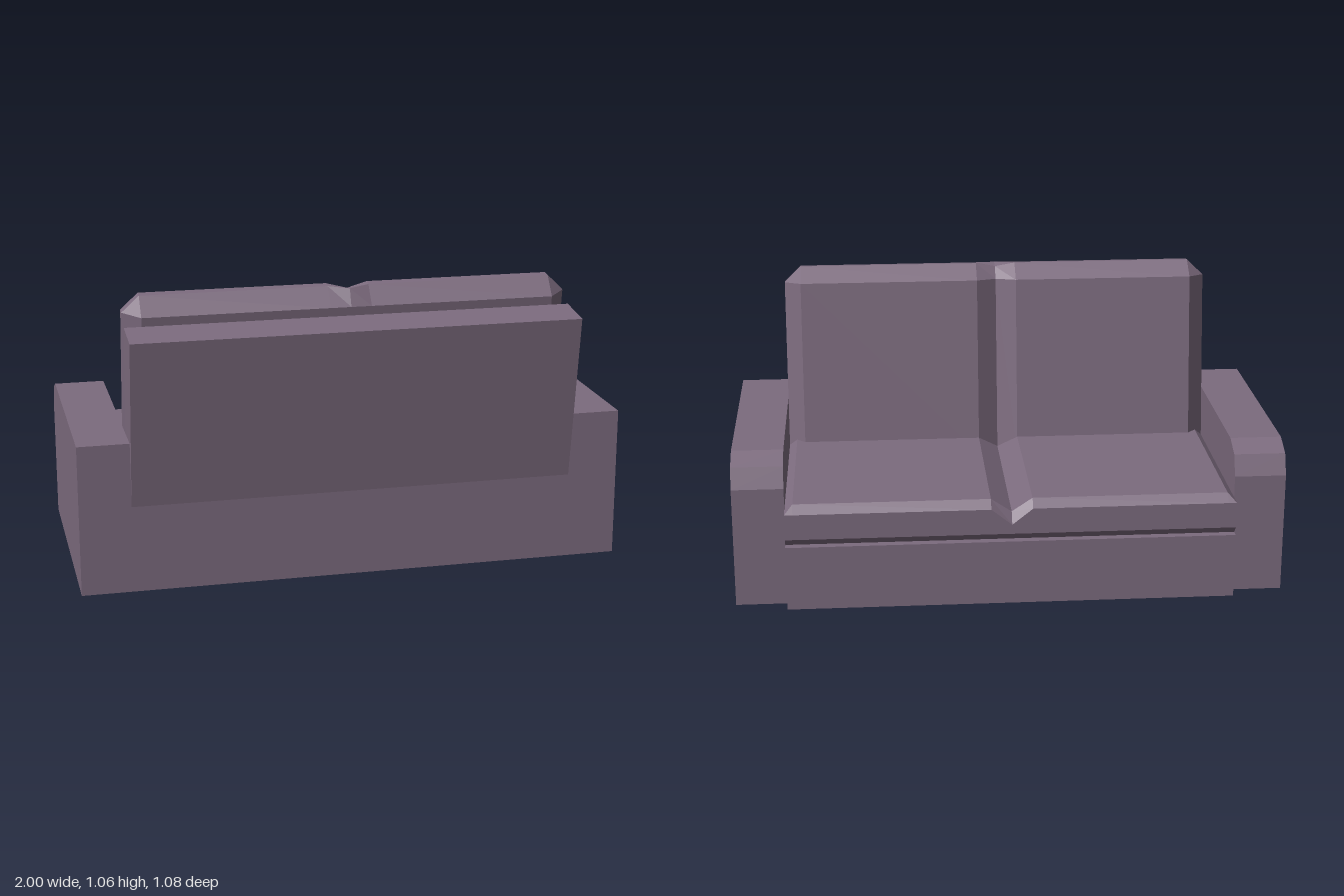
import * as THREE from 'three';

// Extrudes a [z, y] side profile across x0..x1
function sideExtrude(points, x0, x1) {
  const shape = new THREE.Shape(points.map(([z, y]) => new THREE.Vector2(z, y)));
  const g = new THREE.ExtrudeGeometry(shape, { depth: x1 - x0, bevelEnabled: false });
  return g.rotateY(-Math.PI / 2).translate(x1, 0, 0);
}

// Skins matching [z, y] profiles placed at increasing x, with capped ends
function loft(stations) {
  const pos = [];
  const rings = stations.map(({ x, profile }) => profile.map(([z, y]) => new THREE.Vector3(x, y, z)));
  const tri = (a, b, c) => {
    if (new THREE.Triangle(a, b, c).getArea() < 1e-8) return;
    for (const p of [a, b, c]) pos.push(p.x, p.y, p.z);
  };
  const n = rings[0].length;
  for (let s = 0; s < rings.length - 1; s++) {
    const r = rings[s], q = rings[s + 1];
    for (let i = 0; i < n; i++) {
      const j = (i + 1) % n;
      tri(r[i], r[j], q[j]);
      tri(r[i], q[j], q[i]);
    }
  }
  const first = rings[0], last = rings[rings.length - 1];
  for (let i = 1; i < n - 1; i++) {
    tri(last[0], last[i], last[i + 1]);
    tri(first[0], first[i + 1], first[i]);
  }
  const g = new THREE.BufferGeometry();
  g.setAttribute('position', new THREE.Float32BufferAttribute(pos, 3));
  g.computeVertexNormals();
  return g;
}

// Mirrored cushion: bevelled ends, full body and a V-shaped crease in the middle
function cushion(halfWidth, bevel, end, body, crease) {
  const half = [
    { x: halfWidth, profile: end },
    { x: halfWidth - bevel, profile: body },
    { x: 0.075, profile: body },
  ];
  return loft([
    ...half.map(({ x, profile }) => ({ x: -x, profile })),
    { x: 0, profile: crease },
    ...half.reverse(),
  ]);
}

export function createModel() {
  const sofa = new THREE.Group();
  sofa.name = 'sofa';
  const fabric = new THREE.MeshStandardMaterial({ color: 0x7c6b7e });
  fabric.name = 'mauveFabric';
  const add = (name, geometry) => {
    const mesh = new THREE.Mesh(geometry, fabric);
    mesh.name = name;
    sofa.add(mesh);
    return mesh;
  };

  // Armrests with a chamfered front top
  const arm = [[0.455, 0], [0.455, 0.555], [-0.375, 0.555], [-0.455, 0.52], [-0.485, 0.445], [-0.485, 0]];
  add('leftArm', sideExtrude(arm, 0.813, 1));
  add('rightArm', sideExtrude(arm, -1, -0.813));

  // Base, raised at the rear to meet the backrest
  add('base', sideExtrude(
    [[-0.54, 0], [-0.54, 0.24], [0.32, 0.24], [0.32, 0.32], [0.455, 0.32], [0.455, 0]], -0.813, 0.813));

  // Leaning backrest panel
  add('backrest', sideExtrude([[0.455, 0.32], [0.3, 0.32], [0.385, 0.955], [0.54, 0.935]], -0.813, 0.813));

  // Seat cushion
  add('seatCushion', cushion(0.813, 0.03,
    [[-0.51, 0.24], [-0.54, 0.27], [-0.54, 0.365], [-0.54, 0.365], [0.4, 0.365], [0.4, 0.24]],
    [[-0.51, 0.24], [-0.54, 0.27], [-0.54, 0.365], [-0.51, 0.395], [0.4, 0.395], [0.4, 0.24]],
    [[-0.51, 0.24], [-0.54, 0.27], [-0.54, 0.305], [-0.51, 0.345], [0.4, 0.345], [0.4, 0.24]]));

  // Back cushion, built upright around its top front edge and then tilted
  const low = -0.68;
  const back = add('backCushion', cushion(0.813, 0.062,
    [[0.0625, low], [0.0625, 0], [0.0625, 0], [0.0935, 0], [0.0935, 0], [0.0935, low]],
    [[0, low], [0, 0], [0.0625, 0.06], [0.0935, 0.06], [0.156, 0], [0.156, low]],
    [[0.045, low], [0.045, 0], [0.08, 0.045], [0.122, 0.058], [0.156, 0], [0.156, low]]));
  back.rotation.x = 0.136;
  back.position.set(0, 1.007, 0.23);

  return sofa;
}
